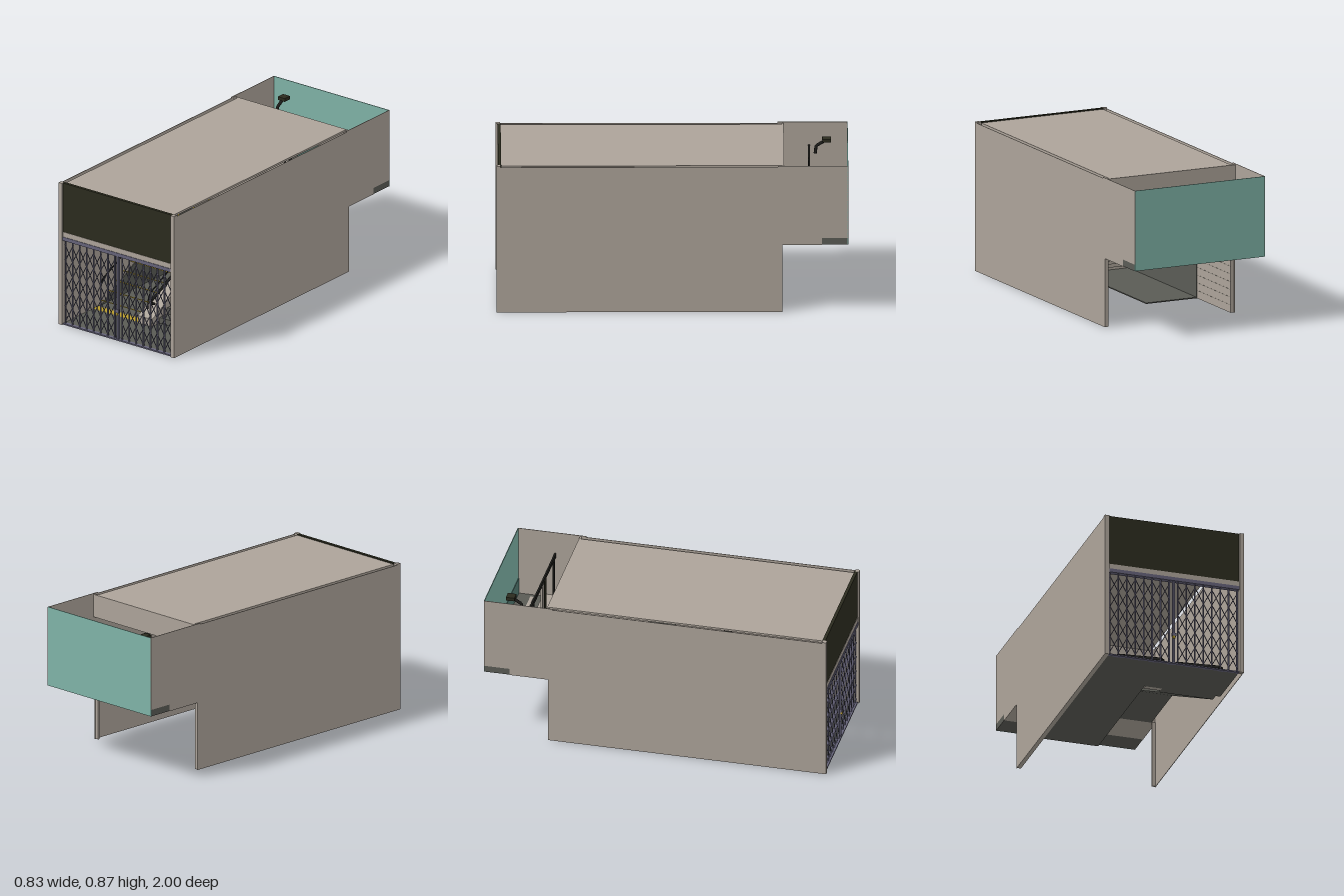
import * as THREE from 'three';

const mat = (name, color) => Object.assign(new THREE.MeshStandardMaterial({ color }), { name });

export function createModel() {
  const root = new THREE.Group();
  root.name = 'stationEntrance';
  const beige = mat('beige concrete', 0xaca399);
  const grey = mat('dark grey', 0x5a5b55);
  const sign = mat('dark olive', 0x2b2b1e);
  const paleTeal = mat('pale teal', 0x7fb3a7);
  const teal = mat('teal', 0x537c73);
  const steel = mat('gate steel', 0x656379);
  const black = mat('black', 0x1d1d1a);
  const yellow = mat('yellow', 0xb89c2c);

  const add = (name, geo, m, parent = root) => {
    const mesh = new THREE.Mesh(geo, m);
    mesh.name = name;
    parent.add(mesh);
    return mesh;
  };
  const group = (name) => {
    const g = new THREE.Group();
    g.name = name;
    root.add(g);
    return g;
  };
  // box given by its limits on each axis
  const box = (name, m, x0, x1, y0, y1, z0, z1, parent) => {
    const mesh = add(name, new THREE.BoxGeometry(x1 - x0, y1 - y0, z1 - z0), m, parent);
    mesh.position.set((x0 + x1) / 2, (y0 + y1) / 2, (z0 + z1) / 2);
    return mesh;
  };
  // side profile of [z, y] points, extruded from x0 to x1
  const profile = (name, m, x0, x1, pts, parent) => {
    const shape = new THREE.Shape(pts.map(([z, y]) => new THREE.Vector2(z, y)));
    const geo = new THREE.ExtrudeGeometry(shape, { depth: x1 - x0, bevelEnabled: false });
    geo.rotateY(-Math.PI / 2).translate(x1, 0, 0);
    return add(name, geo, m, parent);
  };
  // round pipe through [x, y, z] points
  const pipe = (name, m, r, pts, parent) => {
    const path = new THREE.CurvePath();
    const v = pts.map((p) => new THREE.Vector3(...p));
    for (let i = 1; i < v.length; i++) path.add(new THREE.LineCurve3(v[i - 1], v[i]));
    return add(name, new THREE.TubeGeometry(path, (v.length - 1) * 6, r, 8, false), m, parent);
  };
  // one-sided sheet tilted about x; inward ones show from behind but keep their normals
  const sheet = (name, m, w, h, x, y, z, rx, parent, inward = false) => {
    const geo = new THREE.PlaneGeometry(w, h).rotateX(rx);
    if (inward) geo.index.array.reverse();
    const mesh = add(name, geo, m, parent);
    mesh.position.set(x, y, z);
    return mesh;
  };

  // Side walls: the right one is lined, the left one a thin skin
  const walls = group('walls');
  box('rightWallSkin', beige, -0.415, -0.412, 0, 0.864, -0.625, 0.975, walls);
  box('rightWallLining', beige, -0.412, -0.39, 0, 0.8, -0.62, 0.975, walls);
  box('leftWall', beige, 0.412, 0.415, 0, 0.864, -0.625, 0.975, walls);
  box('leftWallEnd', beige, 0.39, 0.412, 0, 0.4, -0.62, -0.61, walls);
  for (const s of [-1, 1]) {
    const a = s < 0 ? -0.415 : 0.412;
    box('upperSideWall', beige, a, a + 0.003, 0.44, 0.87, -1, -0.6, walls);
    box('lowerSideWall', beige, a, a + 0.003, 0.4, 0.44, -0.85, -0.6, walls);
    const p = s < 0 ? -0.415 : 0.39;
    box('frontPost', beige, p, p + 0.025, 0, 0.87, 0.975, 1, walls);
  }
  for (let i = 1; i < 10; i++) {
    box('panelJoint', grey, -0.39, -0.389, i * 0.045, i * 0.045 + 0.001, -0.62, -0.2, walls);
  }
  box('wallStripe', teal, -0.39, -0.387, 0.5, 0.53, -0.6, 0.95, walls);

  // Roof, bulkhead and front fascia
  box('roof', beige, -0.388, 0.388, 0.852, 0.864, -0.63, 0.972);
  box('bulkhead', beige, -0.412, 0.412, 0.73, 0.864, -0.636, -0.626);
  box('fascia', sign, -0.39, 0.39, 0.57, 0.87, 0.972, 0.99);
  box('header', beige, -0.39, 0.39, 0.54, 0.57, 0.96, 0.992);

  // Ground floor with a stair opening
  box('floorFront', grey, -0.39, 0.388, 0, 0.006, 0.65, 0.975);
  box('floorUnderStairs', grey, -0.39, -0.065, 0, 0.006, -0.2, 0.65);

  // Upper landing and track bed
  const upper = group('upperLevel');
  box('landingSoffit', grey, -0.39, 0.39, 0.4, 0.415, -0.62, -0.2, upper);
  box('landing', beige, -0.39, 0.39, 0.415, 0.455, -0.62, -0.2, upper);
  box('platform', beige, -0.412, 0.412, 0.4, 0.455, -0.85, -0.62, upper);
  box('trackBed', grey, -0.415, 0.415, 0.402, 0.44, -0.996, -0.85, upper);
  for (const x of [-0.335, -0.11, 0.12, 0.33]) {
    box('dash', beige, x - 0.055, x + 0.055, 0.44, 0.443, -0.92, -0.9, upper);
  }
  box('backWall', paleTeal, -0.415, 0.415, 0.402, 0.87, -1, -0.996, upper);
  box('backWallBand', teal, -0.412, 0.412, 0.44, 0.54, -0.996, -0.993, upper);
  box('tealLedge', teal, -0.412, 0.08, 0.44, 0.5, -0.993, -0.965, upper);

  // Frame across the platform, with a camera on an arm
  const frame = group('platformFrame');
  box('frameBeam', black, -0.412, 0.412, 0.71, 0.735, -0.785, -0.775, frame);
  for (const [x, w] of [[-0.37, 0.012], [-0.245, 0.016], [-0.165, 0.006], [-0.125, 0.012], [0.125, 0.01], [0.37, 0.016]]) {
    box('framePost', black, x - w / 2, x + w / 2, 0.455, 0.71, -0.785, -0.775, frame);
  }
  box('noticePanel', sign, 0.14, 0.17, 0.455, 0.71, -0.785, -0.775, frame);
  box('frameColumn', beige, 0.075, 0.115, 0.455, 0.71, -0.785, -0.775, frame);
  pipe('cameraArm', black, 0.009, [[-0.25, 0.735, -0.815], [-0.25, 0.78, -0.82], [-0.25, 0.81, -0.87]], frame);
  box('cameraHead', sign, -0.275, -0.225, 0.805, 0.825, -0.905, -0.855, frame);

  // Open stair shown from below, with yellow nosings
  const N = 12, rise = 0.44 / N, run = 0.85 / N, z0 = 0.65;
  const stair = group('stair');
  for (let i = 0; i < N; i++) {
    const y = (i + 1) * rise, z = z0 - i * run;
    sheet('tread', beige, 0.325, run, -0.2275, y, z - run / 2, -Math.PI / 2, stair, true);
    sheet('riser', beige, 0.325, rise, -0.2275, y - rise / 2, z, 0, stair, true);
    sheet('nosingTop', yellow, 0.325, 0.012, -0.2275, y + 0.001, z - 0.006, -Math.PI / 2, stair);
    sheet('nosingUnderside', yellow, 0.325, 0.01, -0.2275, y - 0.001, z - 0.005, -Math.PI / 2, stair, true);
  }
  sheet('warningStrip', yellow, 0.325, 0.05, -0.2275, 0.008, 0.69, -Math.PI / 2, stair);
  profile('stairSide', grey, -0.39, -0.386, [[z0, 0], [-0.2, 0], [-0.2, 0.43]], stair);

  // Escalator: stepped body, balustrade and handrails
  const esc = group('escalator');
  const steps = [[-0.2, 0.38], [-0.2, 0.445]];
  for (let i = N - 1; i >= 0; i--) {
    const z = z0 - i * run;
    steps.push([z, (i + 1) * rise + 0.004], [z, i * rise + 0.004]);
  }
  steps.push([0.68, 0], [0.6, 0]);
  profile('steps', grey, 0.04, 0.36, steps, esc);
  profile('balustrade', beige, -0.06, 0.04,
    [[0.62, 0], [-0.2, 0.4], [-0.28, 0.4], [-0.28, 0.505], [-0.2, 0.505], [0.72, 0.05], [0.72, 0]], esc);
  for (const x of [0.025, 0.375]) {
    pipe('handrail', black, 0.008,
      [[x, 0.13, 0.68], [x, 0.15, 0.72], [x, 0.17, 0.68], [x, 0.55, -0.12], [x, 0.55, -0.3], [x, 0.44, -0.3]], esc);
  }
  for (const x of [-0.375, -0.035]) {
    pipe('stairRail', black, 0.004, [[x, 0.02, 0.66], [x, 0.16, 0.66], [x, 0.55, -0.18], [x, 0.55, -0.3], [x, 0.44, -0.3]], stair);
  }

  // Folding lattice gate
  const gate = group('gate');
  box('topRail', steel, -0.39, 0.39, 0.518, 0.54, 0.965, 0.995, gate);
  box('bottomRail', steel, -0.39, 0.39, 0, 0.008, 0.97, 0.992, gate);
  const bars = [];
  for (let i = 0; i < 8; i++) bars.push(-0.38 + i * 0.0505);
  const cell = 0.094;
  for (const s of [-1, 1]) {
    bars.forEach((b, i) => {
      const x = s * b;
      box('gateBar', steel, x - 0.0035, x + 0.0035, 0.008, 0.518, 0.975, 0.983, gate);
      if (i === 7) return;
      const mid = s * (b + 0.02525);
      for (let k = 0; k < 5; k++) for (const d of [-1, 1]) {
        const slat = box('latticeSlat', steel, -0.0022, 0.0022, -0.0535, 0.0535, -0.0015, 0.0015, gate);
        slat.position.set(mid, 0.025 + (k + 0.5) * cell, 0.979 + d * 0.006);
        slat.rotation.z = d * Math.atan(0.0505 / cell);
      }
    });
  }
  box('meetingStile', steel, -0.006, 0.006, 0.008, 0.518, 0.972, 0.99, gate);
  box('lockPlate', steel, -0.012, 0.012, 0.172, 0.192, 0.985, 0.995, gate);
  box('padlock', yellow, -0.007, 0.007, 0.158, 0.172, 0.987, 0.997, gate);

  return root;
}
